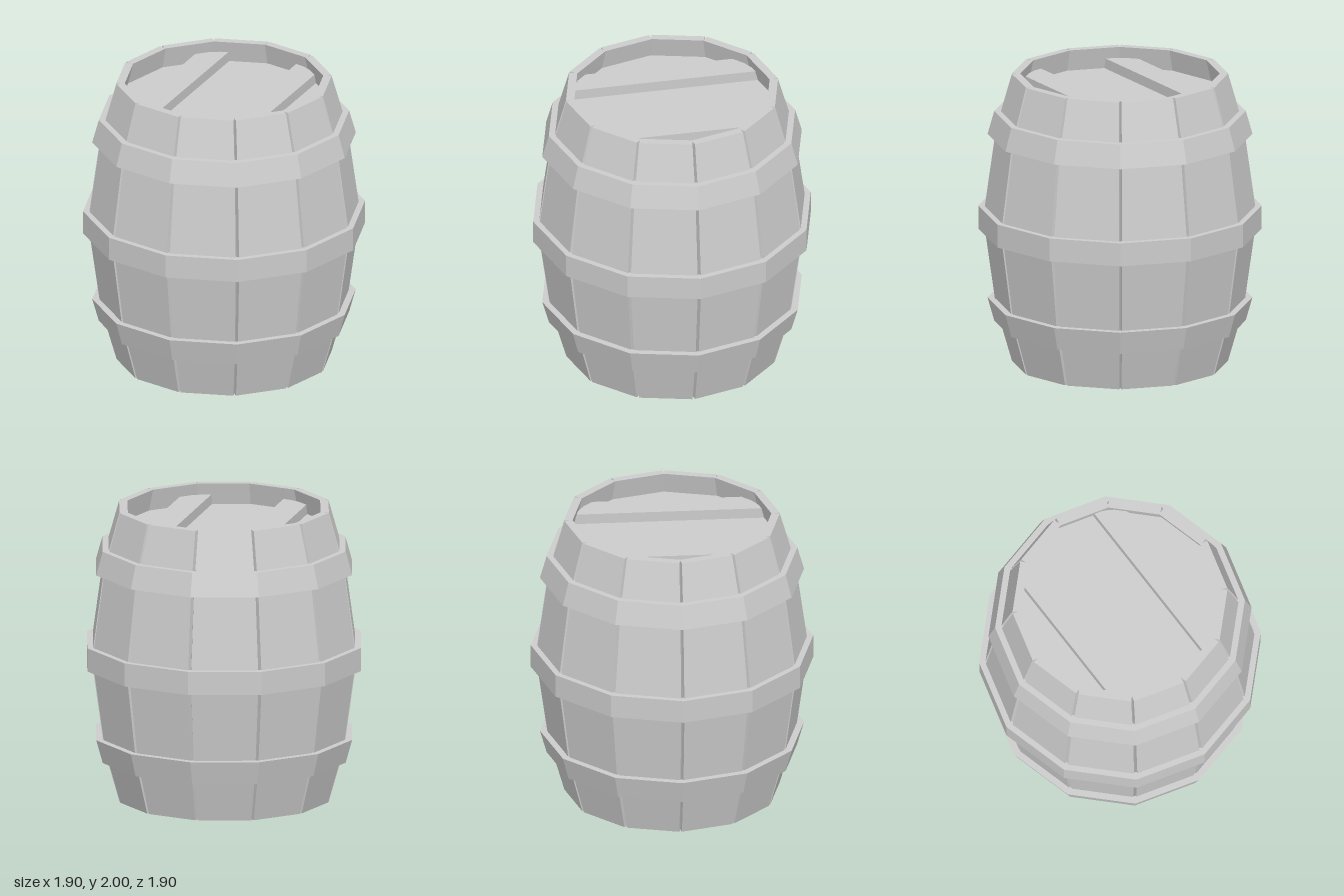
import * as THREE from 'three';

const SIDES = 12;
const wood = new THREE.MeshStandardMaterial({ color: 0xcccccc, flatShading: true });

function add(group, name, geometry) {
  const mesh = new THREE.Mesh(geometry, wood);
  mesh.name = name;
  group.add(mesh);
  return mesh;
}

// Corner of a twelve-sided ring
const corner = (r, y, i) => {
  const a = (i * Math.PI * 2) / SIDES;
  return new THREE.Vector3(r * Math.cos(a), y, r * Math.sin(a));
};

// Cross-section: a V-groove at each corner, a flat stave between two grooves
function staveRing([r, y, depth]) {
  const ring = [];
  for (let i = 0; i < SIDES; i++) {
    const a = corner(r, y, i), b = corner(r, y, i + 1);
    ring.push(corner(r - depth, y, i), a.clone().lerp(b, 0.024), a.clone().lerp(b, 0.976));
  }
  return ring;
}

// Join successive cross-sections with flat faces
function loft(rings) {
  const pos = [];
  const n = rings[0].length;
  for (let l = 0; l < rings.length - 1; l++) {
    for (let i = 0; i < n; i++) {
      const j = (i + 1) % n;
      const a = rings[l][i], b = rings[l][j], c = rings[l + 1][i], d = rings[l + 1][j];
      for (const p of [a, c, b, b, c, d]) pos.push(p.x, p.y, p.z);
    }
  }
  const g = new THREE.BufferGeometry();
  g.setAttribute('position', new THREE.Float32BufferAttribute(pos, 3));
  g.computeVertexNormals();
  return g;
}

// Closed band with a flat top and bottom
function hoop(y0, y1, r0, r1) {
  const t = 0.055;
  const pts = [[r0, y0], [r1, y1], [r1 - t, y1], [r0 - t, y0], [r0, y0]];
  return new THREE.LatheGeometry(pts.map(([r, y]) => new THREE.Vector2(r, y)), SIDES);
}

export function createModel() {
  const barrel = new THREE.Group();
  barrel.name = 'barrel';

  // Staves: [radius, height, groove depth], from inside the bottom rim to inside the top rim
  const profile = [
    [0.72, 0.2, 0], [0.67, 0, 0], [0.728, 0, 0.04], [0.834, 0.37, 0.04], [0.922, 1, 0.04],
    [0.834, 1.63, 0.04], [0.728, 2, 0.04], [0.67, 2, 0], [0.72, 1.8, 0],
  ];
  add(barrel, 'staves', loft(profile.map(staveRing)));

  // Hoops
  add(barrel, 'lowerHoop', hoop(0.28, 0.44, 0.845, 0.89));
  add(barrel, 'middleHoop', hoop(0.92, 1.08, 0.952, 0.952));
  add(barrel, 'upperHoop', hoop(1.58, 1.74, 0.89, 0.845));

  // Recessed heads, each with two raised battens cut to fit the wall
  const batten = new THREE.Shape([[0.25, -0.64], [0.44, -0.53], [0.44, 0.53], [0.25, 0.64]]
    .map(([x, z]) => new THREE.Vector2(x, z)));
  const battenGeometry = new THREE.ExtrudeGeometry(batten, { depth: 0.11, bevelEnabled: false });
  battenGeometry.rotateX(-Math.PI / 2);

  for (const [name, y, battenY] of [['bottom', 0.2, 0.08], ['top', 1.8, 1.81]]) {
    add(barrel, name + 'Head', new THREE.CylinderGeometry(0.722, 0.722, 0.1, SIDES)).position.y = y;
    for (const [side, turn] of [['Left', 0], ['Right', Math.PI]]) {
      const mesh = add(barrel, name + 'Batten' + side, battenGeometry);
      mesh.position.y = battenY;
      mesh.rotation.y = turn;
    }
  }
  return barrel;
}
